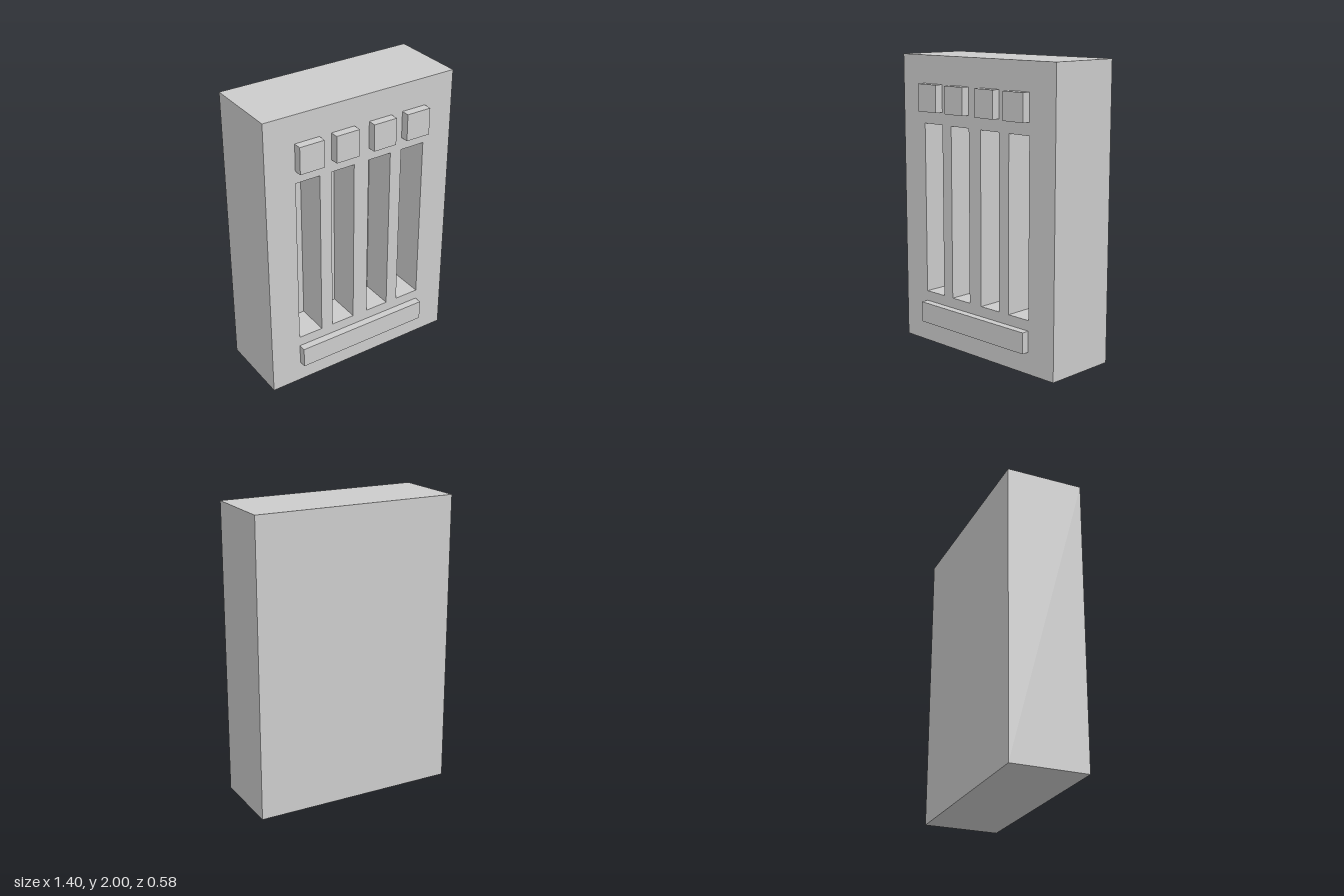
import * as THREE from 'three';

const W = 1.4, H = 2, BACK = -0.29, FRONT = 0.232, SLOT_FLOOR = 0;
const SLOT_Y = [0.36, 1.54];
const COLUMNS = [[-0.487, -0.312], [-0.226, -0.057], [0.053, 0.222], [0.307, 0.483]];

const material = new THREE.MeshStandardMaterial({ color: 0xcccccc });

// Box given by its limits on each axis
function box([x0, x1], [y0, y1], [z0, z1]) {
  return new THREE.BoxGeometry(x1 - x0, y1 - y0, z1 - z0)
    .translate((x0 + x1) / 2, (y0 + y1) / 2, (z0 + z1) / 2);
}

// Box without its front (+z) face; inward turns the walls to face the inside
function openBox(x, y, z, inward = false) {
  const geometry = box(x, y, z);
  const index = Array.from(geometry.index.array).filter((_, i) => i < 24 || i >= 30);
  geometry.setIndex(inward ? index.reverse() : index);
  geometry.clearGroups();
  geometry.computeVertexNormals();
  return geometry;
}

function rectangle(PathType, [x0, x1], [y0, y1]) {
  return new PathType([[x0, y0], [x1, y0], [x1, y1], [x0, y1]]
    .map(([x, y]) => new THREE.Vector2(x, y)));
}

export function createModel() {
  const model = new THREE.Group();
  model.name = 'slottedPanel';
  const add = (name, geometry) => {
    const mesh = new THREE.Mesh(geometry, material);
    mesh.name = name;
    model.add(mesh);
  };

  // Cabinet: five outer walls and a front panel pierced by the slots
  add('cabinet', openBox([-W / 2, W / 2], [0, H], [BACK, FRONT]));
  const panel = rectangle(THREE.Shape, [-W / 2, W / 2], [0, H]);
  panel.holes = COLUMNS.map((x) => rectangle(THREE.Path, x, SLOT_Y));
  add('frontPanel', new THREE.ShapeGeometry(panel).translate(0, 0, FRONT));

  // Each column has a recessed slot with a raised button above it
  COLUMNS.forEach((x, i) => {
    add(`slot${i + 1}`, openBox(x, SLOT_Y, [SLOT_FLOOR, FRONT], true));
    add(`button${i + 1}`, box(x, [1.625, 1.81], [FRONT, 0.29]));
  });

  // Raised bar along the bottom
  add('bottomBar', box([-0.487, 0.483], [0.148, 0.29], [FRONT, 0.284]));

  return model;
}
